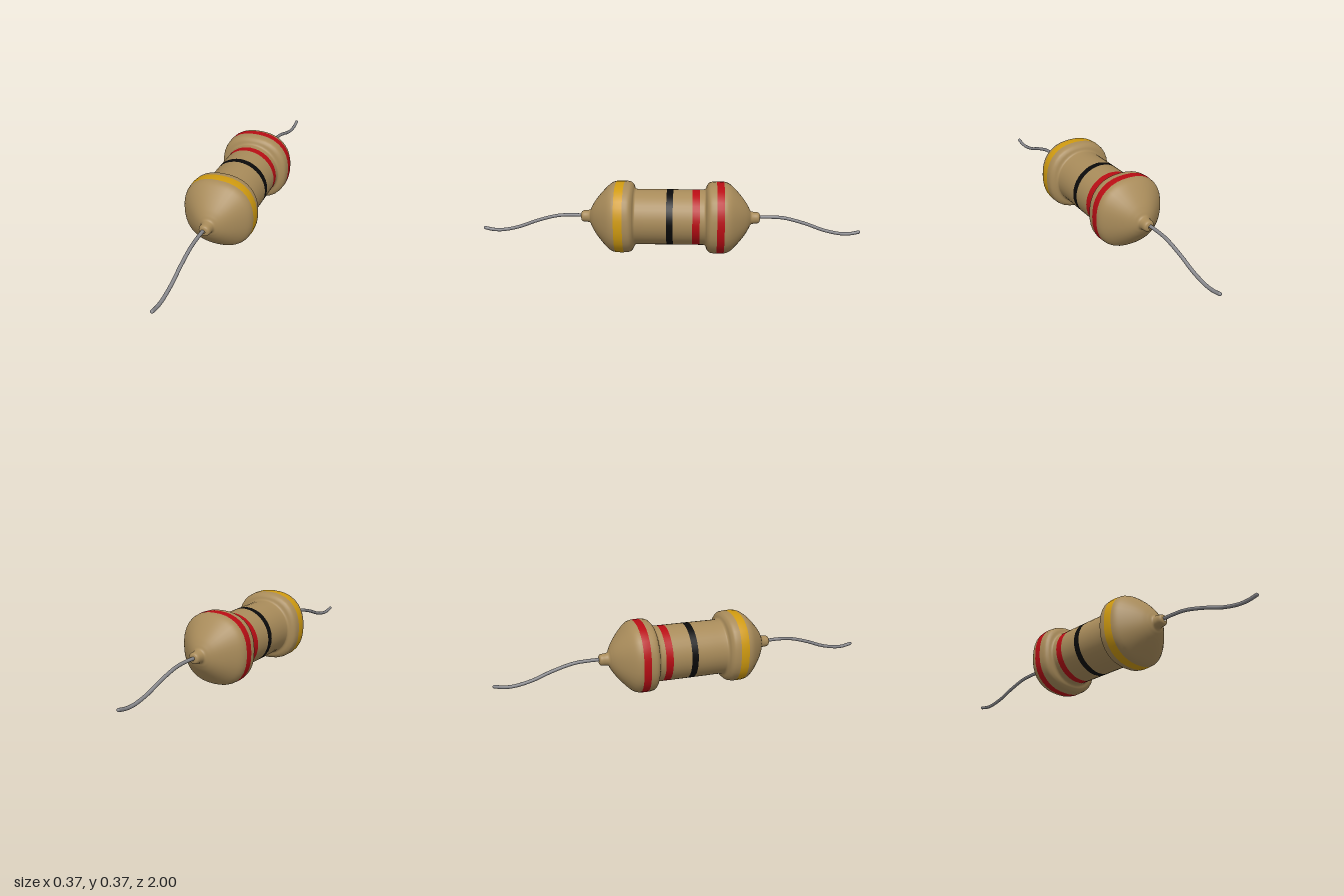
import * as THREE from 'three';

const SIDES = 36, CENTER_Y = 0.186;

// Body radius against distance from the middle, mirrored for both ends
const PROFILE = new THREE.SplineCurve([
  [0, 0.146], [0.09, 0.146], [0.165, 0.146], [0.184, 0.15], [0.194, 0.168], [0.21, 0.181], [0.24, 0.185],
  [0.28, 0.184], [0.305, 0.177], [0.33, 0.158], [0.365, 0.121], [0.395, 0.083], [0.412, 0.055],
  [0.422, 0.036], [0.437, 0.031], [0.458, 0.029], [0.468, 0.023], [0.472, 0.009],
].map(([z, r]) => new THREE.Vector2(z, r))).getPoints(102);

function radiusAt(z) {
  const d = Math.abs(z);
  const i = PROFILE.findIndex((p, k) => k > 0 && p.x >= d - 1e-9);
  if (i < 0) return PROFILE[PROFILE.length - 1].y;
  const a = PROFILE[i - 1], b = PROFILE[i];
  return THREE.MathUtils.lerp(a.y, b.y, (d - a.x) / Math.max(b.x - a.x, 1e-6));
}

// Painted rings: name, start z, end z, colour
const BANDS = [
  ['outerRedBand', -0.281, -0.243, 0xb80d14],
  ['innerRedBand', -0.155, -0.117, 0xb80d14],
  ['blackBand', -0.017, 0.017, 0x0a0a0a],
  ['yellowBand', 0.239, 0.284, 0xcf9a10],
];

// Cross-section loops along z, with extra loops at the band edges
function bodyGeometry() {
  const zs = BANDS.flatMap((b) => [b[1], b[2]]);
  PROFILE.forEach((p) => zs.push(p.x, -p.x));
  const rows = [...new Set(zs)].sort((a, b) => a - b);
  const positions = [];
  for (const z of rows) {
    const r = radiusAt(z);
    // The swollen ends are slightly squared, the waist and necks round
    const n = 2 + 0.35 * THREE.MathUtils.smoothstep(r, 0.146, 0.18)
      + (Math.abs(z) > 0.3 ? 0.35 * (1 - THREE.MathUtils.smoothstep(r, 0.146, 0.18)) * Math.min(1, r / 0.1) : 0);
    for (let i = 0; i < SIDES; i++) {
      const t = (i / SIDES) * Math.PI * 2, c = Math.cos(t), s = Math.sin(t);
      const k = r / Math.pow(Math.abs(c) ** n + Math.abs(s) ** n, 1 / n);
      positions.push(k * c, k * s, z);
    }
  }
  const geometry = new THREE.BufferGeometry();
  geometry.setAttribute('position', new THREE.Float32BufferAttribute(positions, 3));
  return { geometry, rows };
}

// Faces of the loops whose strip passes the test
function stripIndex(rows, test) {
  const index = [];
  for (let j = 0; j < rows.length - 1; j++) {
    if (!test((rows[j] + rows[j + 1]) / 2)) continue;
    for (let i = 0; i < SIDES; i++) {
      const a = j * SIDES + i, b = j * SIDES + ((i + 1) % SIDES);
      index.push(a, b, b + SIDES, a, b + SIDES, a + SIDES);
    }
  }
  return index;
}

export function createModel() {
  const model = new THREE.Group();
  model.name = 'resistor';
  const add = (parent, name, geometry, color) => {
    const mesh = new THREE.Mesh(geometry, new THREE.MeshStandardMaterial({ color }));
    mesh.name = name;
    parent.add(mesh);
    return mesh;
  };

  // Body and bands share one smooth surface
  const body = new THREE.Group();
  body.name = 'body';
  body.position.y = CENTER_Y;
  model.add(body);
  const { geometry, rows } = bodyGeometry();
  geometry.setIndex(stripIndex(rows, () => true));
  geometry.computeVertexNormals();
  const addStrip = (name, color, test) => {
    const part = geometry.clone();
    part.setIndex(stripIndex(rows, test));
    add(body, name, part, color);
  };
  const inside = (z, b) => z > b[1] && z < b[2];
  addStrip('shell', 0xa88b5a, (z) => !BANDS.some((b) => inside(z, b)));
  for (const b of BANDS) addStrip(b[0], b[3], (z) => inside(z, b));

  // Bent wire leads with rounded tips
  for (const [name, side] of [['frontLead', 1], ['backLead', -1]]) {
    const lead = new THREE.Group();
    lead.name = name;
    model.add(lead);
    const path = new THREE.CatmullRomCurve3([
      [0.44, 0.188], [0.52, 0.19], [0.6, 0.185], [0.71, 0.156], [0.81, 0.12], [0.9, 0.102], [0.95, 0.103], [0.992, 0.112],
    ].map(([z, y]) => new THREE.Vector3(-0.003, y, z * side)));
    add(lead, 'wire', new THREE.TubeGeometry(path, 48, 0.009, 12), 0x88888c);
    add(lead, 'wireTip', new THREE.SphereGeometry(0.009, 12, 8), 0x88888c).position.copy(path.getPoint(1));
  }
  return model;
}
